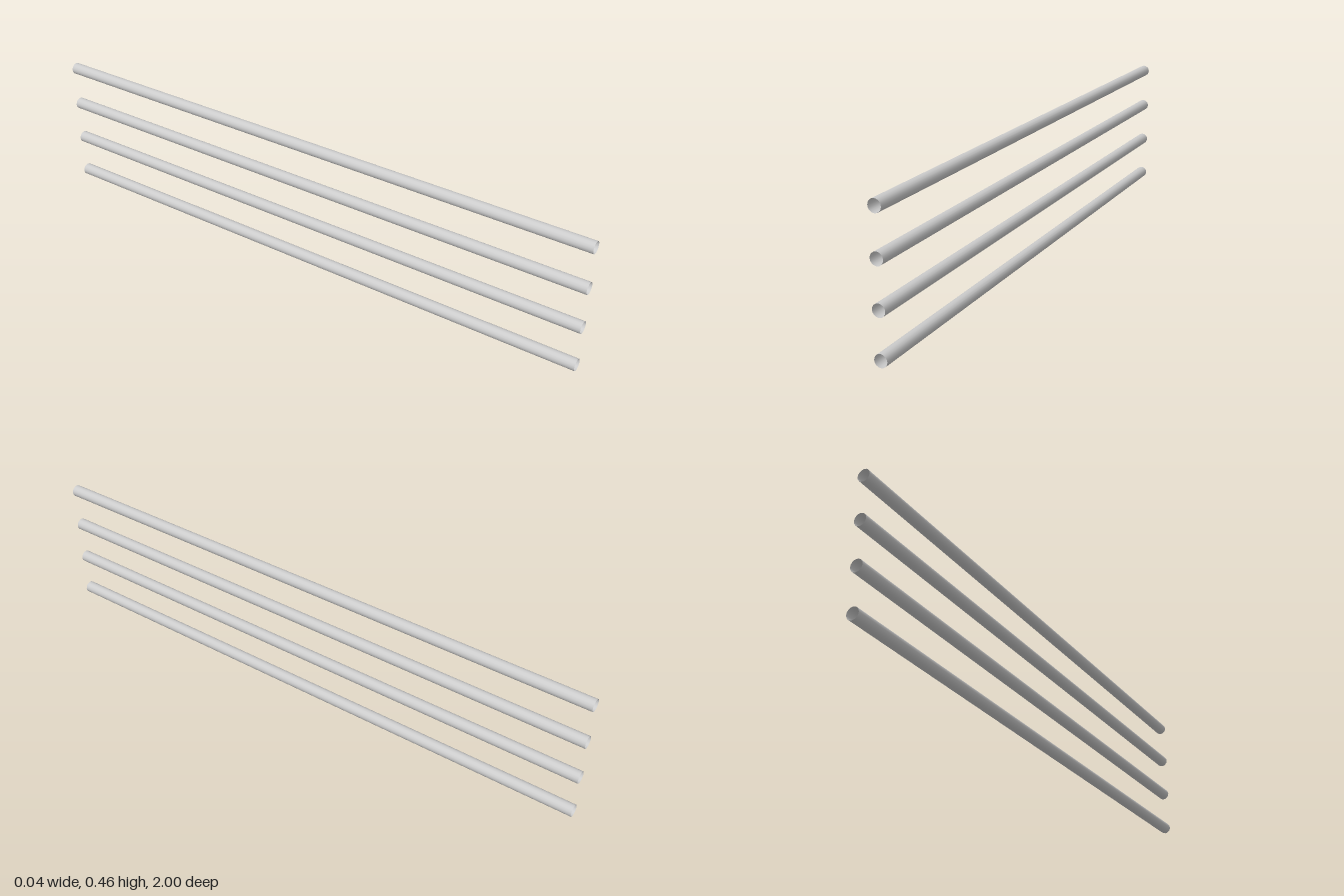
import * as THREE from 'three';

const RADIUS = 0.02, LENGTH = 2, SPACING = 0.14, COUNT = 4;

export function createModel() {
  const group = new THREE.Group();
  group.name = 'railSet';
  const material = new THREE.MeshStandardMaterial({ color: 0xcccccc, side: THREE.DoubleSide });

  // Open-ended hollow tube running front to back
  const tube = new THREE.CylinderGeometry(RADIUS, RADIUS, LENGTH, 16, 1, true);
  tube.rotateX(Math.PI / 2);

  // Evenly stacked rails
  for (let i = 0; i < COUNT; i++) {
    const rail = new THREE.Mesh(tube, material);
    rail.name = `rail${i + 1}`;
    rail.position.y = RADIUS + i * SPACING;
    group.add(rail);
  }
  return group;
}
